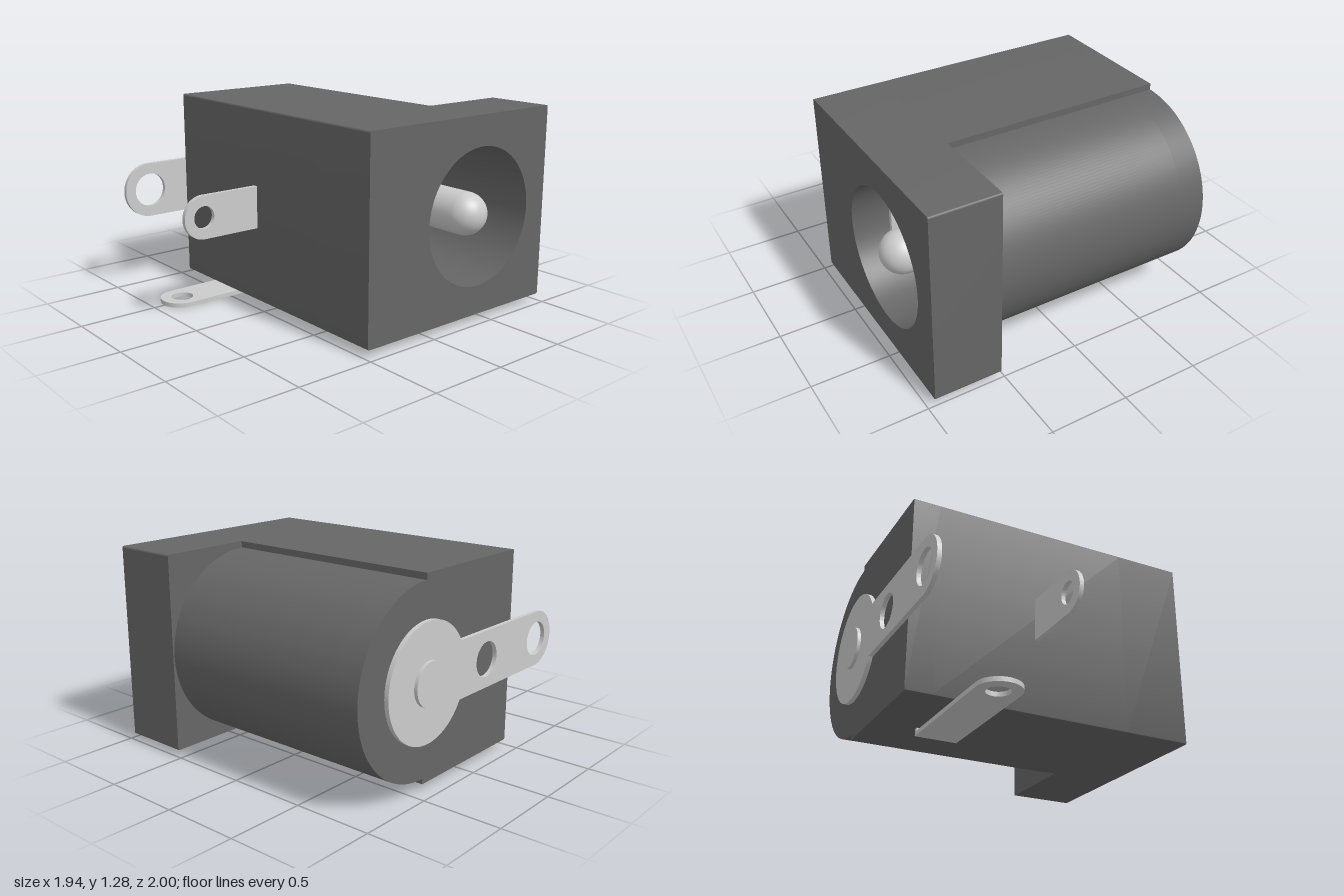
import * as THREE from 'three';
import { toCreasedNormals } from 'three/addons/utils/BufferGeometryUtils.js';

const AXIS_Y = 0.66, AXIS_Z = -0.41;      // barrel axis, runs along x
const plastic = new THREE.MeshStandardMaterial({ color: 0x666666 });
const metal = new THREE.MeshStandardMaterial({ color: 0xcccccc });

function extrude(shape, depth) {
  const g = new THREE.ExtrudeGeometry(shape, { depth, bevelEnabled: false, curveSegments: 48 });
  return toCreasedNormals(g, 0.5);
}

function circleHole(x, y, r) {
  const p = new THREE.Path();
  p.absarc(x, y, r, 0, Math.PI * 2, true);
  return p;
}

// Flat tongue: width across shape x, length along shape y, rounded free end
function tongue(start, end, r, holes, disc) {
  const s = new THREE.Shape();
  if (disc) {
    const a = Math.acos(r / disc.r);
    s.absarc(0, disc.y, disc.r, Math.PI - a, Math.PI * 2 + a, false);
  } else {
    s.moveTo(-r, start);
    s.lineTo(r, start);
  }
  s.absarc(0, end - r, r, 0, Math.PI, false);
  s.closePath();
  holes.forEach(([y, hr]) => s.holes.push(circleHole(0, y, hr)));
  return extrude(s, 0.028).rotateX(Math.PI / 2);   // length to +z, thickness to -y
}

export function createModel() {
  const model = new THREE.Group();
  const add = (name, geometry, material, parent = model) => {
    const m = new THREE.Mesh(geometry, material);
    m.name = name;
    parent.add(m);
    return m;
  };
  const box = (x0, x1, y0, y1, z0, z1) =>
    new THREE.BoxGeometry(x1 - x0, y1 - y0, z1 - z0)
      .translate((x0 + x1) / 2, (y0 + y1) / 2, (z0 + z1) / 2);

  // Housing: profiles drawn in (-z, y) and extruded along x
  const housing = new THREE.Group();
  housing.name = 'housing';
  model.add(housing);
  const F = -0.48, B = 1.0, Y0 = 0.045, Y1 = 1.28, c = 0.012;
  const u = -AXIS_Z;

  const flangeShape = () => {
    const s = new THREE.Shape();
    s.moveTo(F + c, Y0);
    s.lineTo(B - c, Y0);
    s.quadraticCurveTo(B, Y0, B, Y0 + c);
    s.lineTo(B, Y1 - c);
    s.quadraticCurveTo(B, Y1, B - c, Y1);
    s.lineTo(F + c, Y1);
    s.quadraticCurveTo(F, Y1, F, Y1 - c);
    s.lineTo(F, Y0 + c);
    s.quadraticCurveTo(F, Y0, F + c, Y0);
    return s;
  };
  const barrelShape = () => {
    const s = new THREE.Shape();
    s.moveTo(F + c, Y0);
    s.lineTo(u, Y0);
    s.absarc(u, AXIS_Y, 0.58, -Math.PI / 2, Math.PI / 2, false);
    s.lineTo(u, Y1);
    s.lineTo(F + c, Y1);
    s.quadraticCurveTo(F, Y1, F, Y1 - c);
    s.lineTo(F, Y0 + c);
    s.quadraticCurveTo(F, Y0, F + c, Y0);
    return s;
  };
  const section = (name, shape, x0, x1, bored) => {
    if (bored) shape.holes.push(circleHole(u, AXIS_Y, 0.43));
    add(name, extrude(shape, x1 - x0).rotateY(Math.PI / 2).translate(x0, 0, 0), plastic, housing);
  };
  section('socketFlange', flangeShape(), 0.52, 0.955, true);
  section('barrel', barrelShape(), -0.75, 0.52, true);
  section('barrelEnd', barrelShape(), -0.92, -0.75, false);

  // Centre pin: riveted at the back, round tip at the socket mouth
  const pin = new THREE.Group();
  pin.name = 'centrePin';
  pin.position.set(0, AXIS_Y, AXIS_Z);
  model.add(pin);
  const r = 0.135;
  add('pinShaft', new THREE.CylinderGeometry(r, r, 1.805, 48)
    .rotateZ(-Math.PI / 2).translate(-0.0675, 0, 0), metal, pin);
  add('pinTip', new THREE.SphereGeometry(r, 48, 16, 0, Math.PI * 2, 0, Math.PI / 2)
    .rotateZ(-Math.PI / 2).translate(0.835, 0, 0), metal, pin);

  // Rear terminal: round plate under the rivet with a pierced tongue
  add('rearTerminal', tongue(0, 0.94, 0.18, [[0.18, 0.11], [0.76, 0.11]], { y: AXIS_Z, r: 0.36 })
    .rotateZ(Math.PI / 2).translate(-0.948, AXIS_Y, 0), metal);

  // Front terminal: upright tongue leaving the front wall
  add('frontTerminal', tongue(0.1, 1.0, r, [[0.865, 0.07]])
    .rotateZ(Math.PI / 2).translate(-0.112, AXIS_Y, 0), metal);

  // Bottom terminal: flat tongue, bent up into the contact spring in the bore
  const bottom = new THREE.Group();
  bottom.name = 'bottomTerminal';
  model.add(bottom);
  add('bottomTongue', tongue(-0.05, 0.93, r, [[0.79, 0.07]]).translate(-0.508, 0.028, 0), metal, bottom);
  add('terminalRiser', box(-0.643, -0.373, 0.01, 0.42, -0.05, -0.022), metal, bottom);
  add('contactSpring', box(-0.76, 0.73, 0.41, 0.91, -0.05, -0.022), metal, bottom);

  return model;
}
